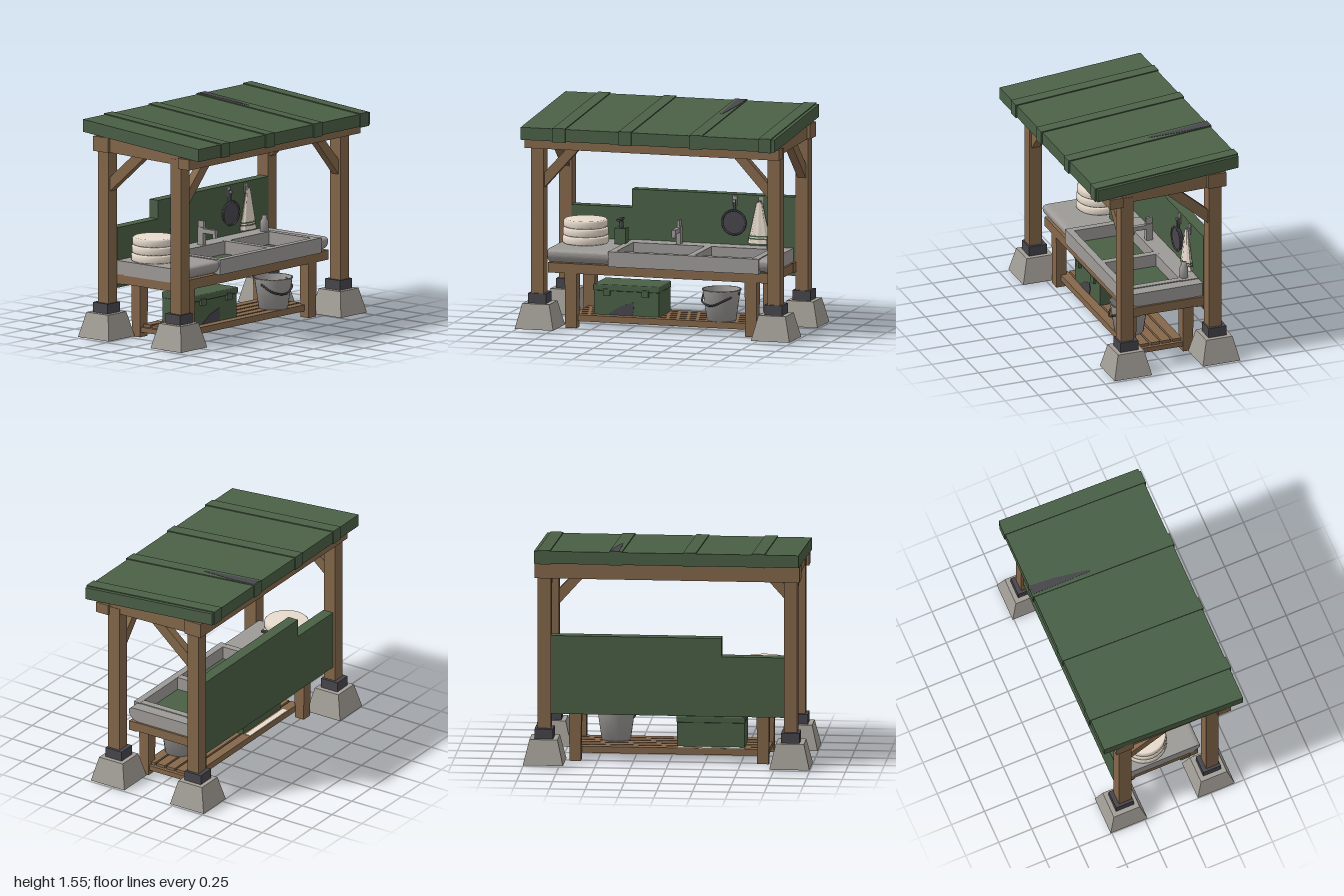
import * as THREE from 'three';
import { RoundedBoxGeometry } from 'three/addons/geometries/RoundedBoxGeometry.js';

const mat = (name, color, side = THREE.FrontSide) => {
  const m = new THREE.MeshStandardMaterial({ color, side });
  m.name = name;
  return m;
};

export function createModel() {
  const root = new THREE.Group();
  root.name = 'outdoorWashStation';
  const green = mat('paintedGreen', 0x4a6046);
  const wood = mat('wood', 0x84674a);
  const stone = mat('stone', 0xa29e97);
  const steel = mat('steel', 0x9d9a97, THREE.DoubleSide);
  const dark = mat('darkIron', 0x47464c, THREE.DoubleSide);
  const cream = mat('creamCloth', 0xe8dccd, THREE.DoubleSide);

  const add = (name, geo, m, x = 0, y = 0, z = 0) => {
    const mesh = new THREE.Mesh(geo, m);
    mesh.name = name;
    mesh.position.set(x, y, z);
    root.add(mesh);
    return mesh;
  };
  // box given by its limits
  const box = (name, m, x0, x1, y0, y1, z0, z1) =>
    add(name, new THREE.BoxGeometry(x1 - x0, y1 - y0, z1 - z0), m, (x0 + x1) / 2, (y0 + y1) / 2, (z0 + z1) / 2);
  // box whose top is scaled by k
  const taperBox = (w, h, d, k) => {
    const g = new THREE.BoxGeometry(w, h, d), p = g.attributes.position;
    for (let i = 0; i < p.count; i++) if (p.getY(i) > 0) p.setXYZ(i, p.getX(i) * k, p.getY(i), p.getZ(i) * k);
    g.computeVertexNormals();
    return g;
  };
  // flat outline extruded along z, centred on z = 0
  const prism = (pts, depth) => {
    const s = new THREE.Shape(pts.map(([a, b]) => new THREE.Vector2(a, b)));
    return new THREE.ExtrudeGeometry(s, { depth, bevelEnabled: false }).translate(0, 0, -depth / 2);
  };
  // outline in (z, y) extruded along x
  const sidePrism = (pts, depth) => prism(pts, depth).rotateY(-Math.PI / 2);
  const lathe = (pts, n = 24) => new THREE.LatheGeometry(pts.map(([r, y]) => new THREE.Vector2(r, y)), n);
  const tube = (pts, r) =>
    new THREE.TubeGeometry(new THREE.CatmullRomCurve3(pts.map(p => new THREE.Vector3(...p))), 20, r, 6);

  // Footings, shoes, posts, side beams and braces
  for (const s of [-1, 1]) {
    const x = s * 0.86;
    for (const [z, fz, top] of [[0.3, 0.29, 1.35], [-0.36, -0.37, 1.4]]) {
      add('footing', taperBox(0.28, 0.175, 0.28, 0.7), stone, x, 0.0975, fz);
      box('postShoe', dark, x - 0.065, x + 0.065, 0.18, 0.255, fz - 0.067, fz + 0.067);
      box('post', wood, x - 0.046, x + 0.046, 0.25, top, z - 0.047, z + 0.047);
    }
    add('sideBeam', sidePrism([[0.35, 1.31], [0.35, 1.37], [-0.31, 1.425], [-0.31, 1.325]], 0.085), wood, x);
    add('sideBrace', sidePrism([[-0.31, 1.05], [0, 1.32], [-0.1, 1.33], [-0.31, 1.15]], 0.06), wood, x);
    const brace = [[0.815, 1.0], [0.815, 1.105], [0.635, 1.3], [0.545, 1.3]].map(([a, b]) => [s * a, b]);
    add('frontBrace', prism(brace, 0.06), wood, 0, 0, 0.3);
  }
  box('frontBeam', wood, -0.925, 0.925, 1.29, 1.365, 0.335, 0.435);
  box('backBeam', wood, -0.925, 0.925, 1.325, 1.43, -0.435, -0.3);

  // Sloping roof with upright ends, battens and a worn streak
  const slope = 0.0825;
  const roofSlab = (name, x, width, front, back, low, high) => {
    const y = (z, offset) => 1.449 - slope * z + offset;
    const outline = [[front, y(front, low)], [front, y(front, high)], [back, y(back, high)], [back, y(back, low)]];
    add(name, sidePrism(outline, width), green, x);
  };
  roofSlab('roofPanel', -0.003, 1.847, 0.525, -0.528, -0.044, 0.044);
  for (const x of [-0.645, -0.165, 0.35, 0.852]) roofSlab('roofBatten', x, 0.09, 0.535, -0.535, -0.048, 0.051);
  const streak = prism([[0.325, 0.53], [0.393, 0.53], [0.385, 0.35], [0.35, 0.09], [0.335, 0.09], [0.33, 0.35]], 0.004);
  add('roofStreak', streak, dark, 0, 1.5, 0).rotation.x = Math.atan(slope) - Math.PI / 2;

  // Stepped back panel
  add('backPanel', prism([[-0.815, 0.355], [0.815, 0.355], [0.815, 0.91], [-0.375, 0.91], [-0.375, 0.78], [-0.815, 0.78]], 0.08),
    green, 0, 0, -0.348);

  // Table frame, legs and slatted shelf
  box('frontApron', wood, -0.82, 0.82, 0.385, 0.455, 0.17, 0.23);
  box('backApron', wood, -0.82, 0.82, 0.385, 0.455, -0.308, -0.25);
  box('worktopBoard', wood, -0.8, -0.36, 0.425, 0.452, -0.28, 0.2);
  for (const s of [-1, 1]) {
    box('sideApron', wood, s * 0.785 - 0.03, s * 0.785 + 0.03, 0.388, 0.453, -0.27, 0.19);
    box('shelfRail', wood, s * 0.655 - 0.03, s * 0.655 + 0.03, 0.035, 0.07, -0.22, 0.16);
    for (const z of [0.187, -0.24]) add('tableLeg', taperBox(0.08, 0.39, 0.073, 1.1), wood, s * 0.655, 0.195, z);
  }
  for (let i = 0; i < 5; i++) {
    const z = 0.155 - i * 0.082;
    box('shelfSlat', wood, -0.66, 0.66, 0.045, 0.09, z - 0.034, z + 0.034);
  }

  // Worktop with a rounded front edge, on both sides of the sink
  const top = new THREE.Shape();
  top.moveTo(-0.308, 0.45);
  top.lineTo(0.17, 0.45);
  top.quadraticCurveTo(0.25, 0.47, 0.245, 0.53);
  top.quadraticCurveTo(0.24, 0.55, 0.2, 0.55);
  top.lineTo(-0.308, 0.55);
  for (const [right, depth] of [[-0.37, 0.45], [0.8, 0.085]])
    add('worktop', new THREE.ExtrudeGeometry(top, { depth, bevelEnabled: false }).rotateY(-Math.PI / 2), steel, right);

  // Double sink with green basin floors
  box('sinkFloor', green, -0.36, 0.75, 0.4, 0.465, -0.26, 0.21);
  box('sinkFront', steel, -0.375, 0.72, 0.45, 0.557, 0.205, 0.255);
  box('sinkDeck', steel, -0.375, 0.72, 0.45, 0.555, -0.307, -0.18);
  for (const x of [-0.35, 0.22, 0.69]) box('sinkWall', steel, x - 0.025, x + 0.025, 0.45, 0.556, -0.2, 0.22);

  // Tap
  box('tapBody', steel, -0.022, 0.012, 0.55, 0.68, -0.25, -0.2);
  box('tapSpout', steel, -0.02, 0.01, 0.64, 0.672, -0.21, -0.09);
  box('tapNozzle', steel, -0.018, 0.008, 0.615, 0.65, -0.115, -0.09);
  box('tapHandle', steel, -0.015, 0.005, 0.68, 0.725, -0.25, -0.2);

  // Soap dispenser
  box('soapBottle', green, -0.44, -0.36, 0.545, 0.662, -0.175, -0.105);
  add('pumpStem', new THREE.CylinderGeometry(0.012, 0.018, 0.07, 10), dark, -0.4, 0.693, -0.14);
  box('pumpSpout', dark, -0.413, -0.387, 0.718, 0.732, -0.17, -0.07);

  // Small steel flask
  add('flask', lathe([[0, 0], [0.03, 0], [0.03, 0.075], [0.018, 0.095], [0.018, 0.12], [0, 0.12]], 14), steel, 0.665, 0.55, -0.22);

  // Stacked cloth bundle in three bulging layers
  for (let i = 0; i < 3; i++) {
    const r = 0.163 - i * 0.004;
    add('clothRoll', lathe([[0, 0], [r - 0.01, 0], [r, 0.01], [r, 0.046], [r - 0.01, 0.056], [0, 0.058]], 28), cream, -0.65, 0.55 + i * 0.057, -0.11);
  }

  // Hanging pan and wall hooks
  const disc = add('pan', new THREE.CylinderGeometry(0.09, 0.075, 0.025, 28), dark, 0.377, 0.715, -0.29);
  disc.rotation.x = Math.PI / 2;
  add('panRim', new THREE.TorusGeometry(0.085, 0.007, 6, 28), dark, 0.377, 0.715, -0.277);
  box('panHandle', dark, 0.367, 0.387, 0.79, 0.875, -0.298, -0.283);
  for (const x of [0.377, 0.565]) {
    box('hookPlate', steel, x - 0.016, x + 0.016, 0.83, 0.9, -0.31, -0.298);
    box('hookPeg', steel, x - 0.008, x + 0.008, 0.855, 0.875, -0.303, -0.273);
  }

  // Hanging towel: fluted cone with green bands near the hem
  const flute = (r0, r1, h) => {
    const g = new THREE.CylinderGeometry(r0, r1, h, 40, 4), p = g.attributes.position;
    for (let i = 0; i < p.count; i++) {
      const x = p.getX(i), z = p.getZ(i), k = 1 + 0.08 * Math.cos(Math.atan2(z, x) * 8);
      p.setXYZ(i, x * k, p.getY(i), z * k * 0.42);
    }
    g.computeVertexNormals();
    return g;
  };
  add('towel', flute(0.02, 0.079, 0.29), cream, 0.562, 0.72, -0.281);
  add('towelBand', flute(0.07, 0.0725, 0.01), green, 0.562, 0.628, -0.281);
  add('towelBand', flute(0.0735, 0.076, 0.01), green, 0.562, 0.61, -0.281);

  // Storage crate with lid, latches and worn patch
  box('crateBody', green, -0.517, -0.045, 0.09, 0.265, -0.147, 0.125);
  add('crateLid', new RoundedBoxGeometry(0.482, 0.045, 0.292, 2, 0.008), green, -0.28, 0.282, -0.008);
  for (const x of [-0.42, -0.14]) box('crateLatch', green, x - 0.025, x + 0.025, 0.228, 0.275, 0.12, 0.147);
  add('cratePatch', prism([[-0.42, 0.092], [-0.24, 0.092], [-0.225, 0.13], [-0.23, 0.185], [-0.33, 0.15]], 0.004), dark, 0, 0, 0.127);

  // Pale cloth strip on the shelf behind the crate
  box('shelfCloth', cream, -0.52, -0.05, 0.089, 0.094, -0.205, -0.165);

  // Bucket with dropped handle
  add('bucket', lathe([[0, 0.005], [0, 0], [0.102, 0], [0.132, 0.21], [0.138, 0.213], [0.138, 0.22], [0.128, 0.22], [0.098, 0.01], [0, 0.01]], 28), steel, 0.4, 0.088, 0.085);
  add('bucketHandle', tube([[0.268, 0.27, 0.085], [0.29, 0.22, 0.175], [0.37, 0.205, 0.22], [0.46, 0.245, 0.205], [0.533, 0.285, 0.085]], 0.007), dark);

  return root;
}
